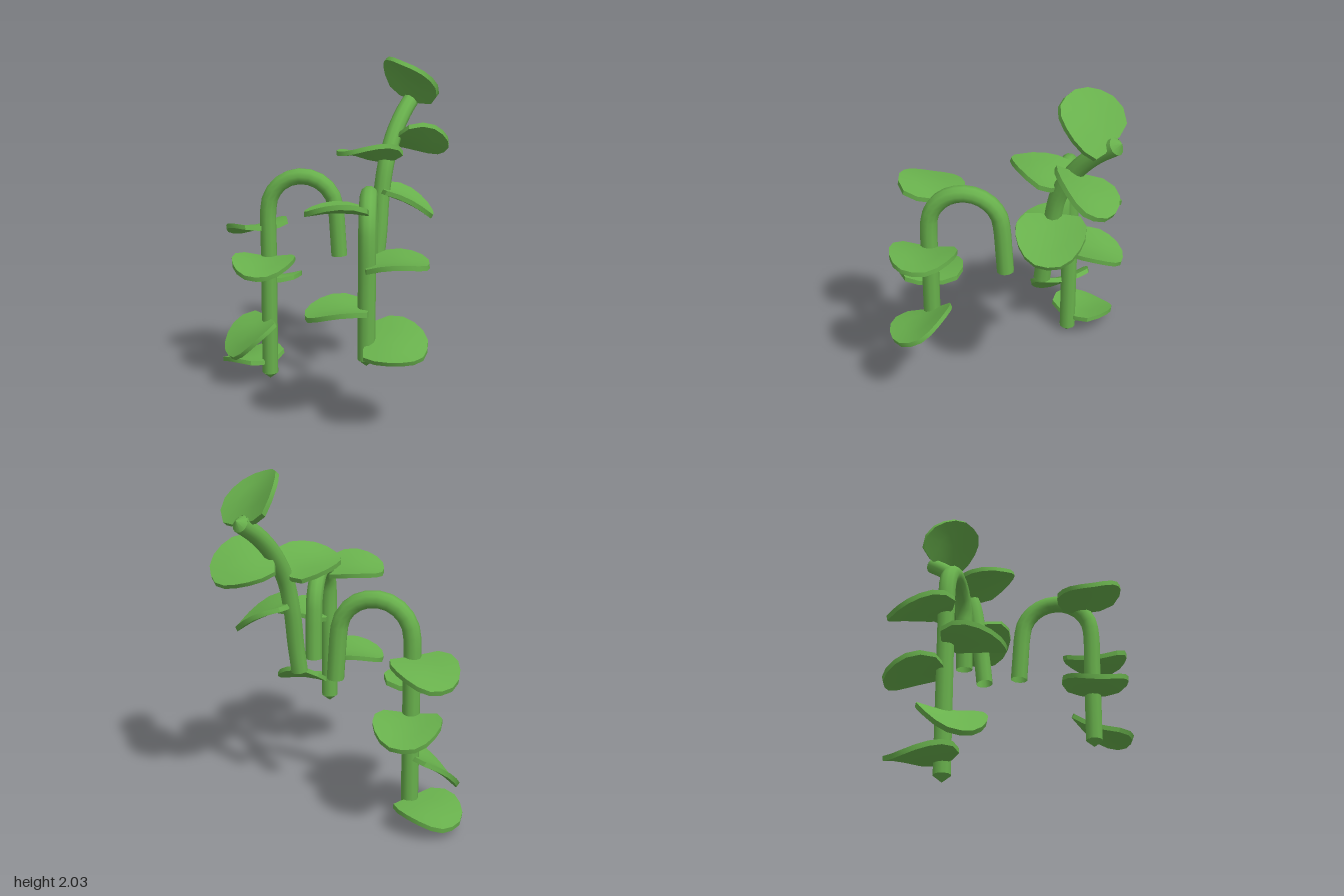
import * as THREE from 'three';
import { toCreasedNormals } from 'three/addons/utils/BufferGeometryUtils.js';

const RADIUS = 0.05;
const rad = THREE.MathUtils.degToRad;

// Broad leaf: stalk at the origin, tip along +z, cupped across and arched along its length
function leafGeometry() {
  const t = 0.014;
  const profile = [[0, -t], [0.5, -t], [1, -t], [1, t], [0.5, t], [0, t]].map(p => new THREE.Vector2(...p));
  const geo = new THREE.LatheGeometry(profile, 16);
  // outline radius from tip (0 degrees) to stalk (180 degrees)
  const outline = [0.175, 0.18, 0.18, 0.18, 0.19, 0.205, 0.215, 0.185, 0.165];
  const pos = geo.attributes.position;
  for (let i = 0; i < pos.count; i++) {
    const x = pos.getX(i), z = pos.getZ(i);
    const step = Math.round(Math.abs(Math.atan2(x, z)) / Math.PI * 8);
    const v = x * outline[step], u = 0.17 + z * outline[step];
    pos.setXYZ(i, v, pos.getY(i) + 0.8 * v * v + 0.6 * u * (0.35 - u), u);
  }
  return toCreasedNormals(geo, 0.7);
}

export function createModel() {
  const model = new THREE.Group();
  const green = new THREE.MeshStandardMaterial({ color: 0x68b04c, side: THREE.DoubleSide });
  green.name = 'leaf green';
  const leafGeo = leafGeometry();

  // Vine: a round tube with a short pointed growing tip at the last point
  function addVine(name, points) {
    const vine = new THREE.Group();
    vine.name = name;
    const curve = new THREE.CatmullRomCurve3(points.map(p => new THREE.Vector3(...p)));
    const stem = new THREE.Mesh(new THREE.TubeGeometry(curve, 32, RADIUS, 10), green);
    stem.name = 'stem';
    const dir = curve.getTangent(1);
    const tip = new THREE.Mesh(new THREE.ConeGeometry(RADIUS, 0.04, 10, 1, true), green);
    tip.name = 'stemTip';
    tip.position.copy(curve.getPoint(1)).addScaledVector(dir, 0.02);
    tip.quaternion.setFromUnitVectors(new THREE.Vector3(0, 1, 0), dir);
    vine.add(stem, tip);
    model.add(vine);
    return vine;
  }

  // Leaves: [x, y, z, heading, upward pitch, roll] in units and degrees
  function addLeaves(vine, list) {
    for (const [x, y, z, heading, pitch, roll] of list) {
      const leaf = new THREE.Mesh(leafGeo, green);
      leaf.name = 'leaf';
      leaf.position.set(x, y, z);
      leaf.rotation.set(rad(-pitch), rad(heading), rad(roll), 'YXZ');
      vine.add(leaf);
    }
  }

  // Hanging vine: up from the root, over an arch, then straight down.
  // place(s, y) maps the distance s from the root end to a point
  function archPath(bottom, place) {
    const path = [[-0.01, 0.83], [0, 0.98]];
    for (let i = 0; i <= 8; i++) {
      const a = Math.PI * i / 8;
      path.push([0.22 - 0.21 * Math.cos(a), 1.11 + 0.21 * Math.sin(a)]);
    }
    path.push([0.43, 0.85], [0.43, (0.85 + bottom) / 2], [0.43, bottom]);
    return path.map(([s, y]) => place(s, y));
  }

  const rightVine = addVine('rightHangingVine',
    archPath(0.045, (s, y) => [0.03 - s, y, -0.305 - 0.06 * s]));
  addLeaves(rightVine, [
    [-0.4, 0.12, -0.33, -127, -9, 0],
    [-0.4, 0.40, -0.33, -60, -38, 0],
    [-0.4, 0.65, -0.33, 180, -13, 0],
    [-0.4, 0.80, -0.33, -7, -8, 0],
    [-0.4, 0.99, -0.33, -143, -15, 0],
  ]);

  const frontVine = addVine('frontHangingVine',
    archPath(0.425, (s, y) => [0.235, y, 0.005 + s]));
  addLeaves(frontVine, [
    [0.235, 1.26, 0.425, -82, 0, 9],
    [0.235, 0.95, 0.435, 85, 5, 0],
    [0.235, 0.71, 0.435, -80, -5, 0],
    [0.235, 0.52, 0.435, 79, -3, 24],
  ]);

  const uprightVine = addVine('uprightVine', [
    [0.27, 0.83, -0.22], [0.285, 1.0, -0.24], [0.295, 1.2, -0.27], [0.32, 1.4, -0.31],
    [0.365, 1.57, -0.4], [0.42, 1.69, -0.5], [0.48, 1.78, -0.61],
  ]);
  addLeaves(uprightVine, [
    [0.3, 1.25, -0.28, 90, -27, 0],
    [0.325, 1.43, -0.315, -45, 12, 12],
    [0.37, 1.55, -0.4, 112, -16, -27],
    [0.46, 1.77, -0.58, -12, 43, -24],
  ]);

  return model;
}
